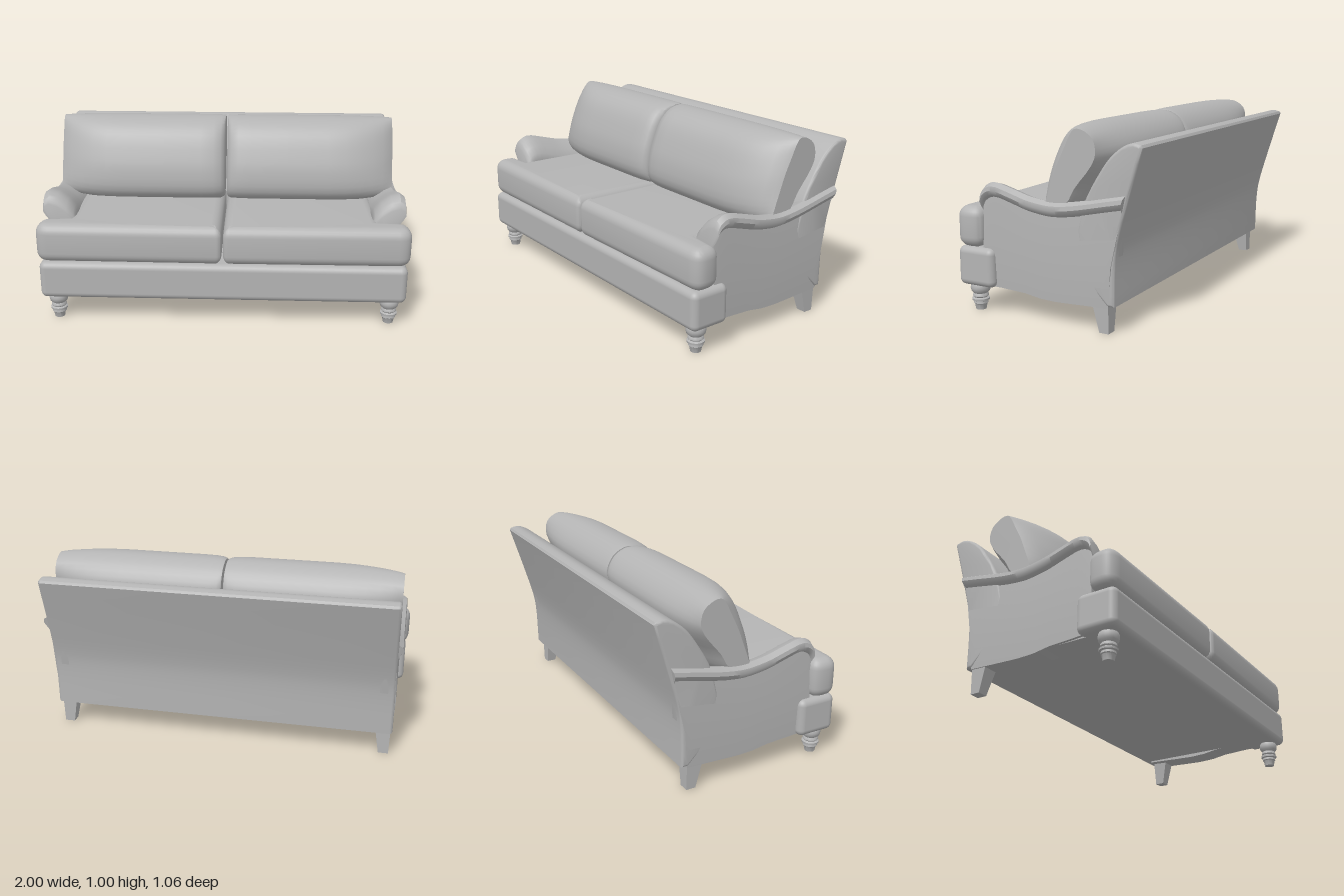
import * as THREE from 'three';
import { toCreasedNormals } from 'three/addons/utils/BufferGeometryUtils.js';
import { RoundedBoxGeometry } from 'three/addons/geometries/RoundedBoxGeometry.js';

const fabric = new THREE.MeshStandardMaterial({ color: 0xb4b4b4 });
fabric.name = 'greyFabric';

// Closed solid through rings of [x, y, z] points, with fan caps
function loft(rings, crease = 0.7) {
  const n = rings[0].length;
  const pts = rings.flat();
  const index = [];
  for (let r = 0; r < rings.length - 1; r++) {
    for (let i = 0; i < n; i++) {
      const a = r * n + i, b = r * n + (i + 1) % n;
      index.push(a, b, b + n, a, b + n, a + n);
    }
  }
  [0, rings.length - 1].forEach((r) => {
    const mid = [0, 1, 2].map((k) => rings[r].reduce((s, p) => s + p[k], 0) / n);
    const c = pts.push(mid) - 1;
    for (let i = 0; i < n; i++) {
      const a = r * n + i, b = r * n + (i + 1) % n;
      if (r === 0) index.push(c, b, a); else index.push(c, a, b);
    }
  });
  // Turn the solid right side out
  let volume = 0;
  const [A, B, C] = [new THREE.Vector3(), new THREE.Vector3(), new THREE.Vector3()];
  for (let i = 0; i < index.length; i += 3) {
    A.fromArray(pts[index[i]]);
    B.fromArray(pts[index[i + 1]]);
    C.fromArray(pts[index[i + 2]]);
    volume += A.dot(B.cross(C));
  }
  if (volume < 0) index.reverse();
  const g = new THREE.BufferGeometry();
  g.setAttribute('position', new THREE.Float32BufferAttribute(pts.flat(), 3));
  g.setIndex(index);
  return toCreasedNormals(g, crease);
}

// Smooth curve through 2D points
function curve(points, closed = false) {
  return new THREE.CatmullRomCurve3(points.map(([a, b]) => new THREE.Vector3(a, b, 0)), closed, 'centripetal');
}

// Height at z along a polyline of [z, y] with falling z
function heightAt(line, z) {
  let i = 0;
  while (i < line.length - 2 && z < line[i + 1][0]) i++;
  const [z0, y0] = line[i], [z1, y1] = line[i + 1];
  return THREE.MathUtils.mapLinear(z, z0, z1, y0, y1);
}

// Scroll arm: cross-section swept from front to back, leaning with the back
function armGeometry(s) {
  const top = curve([[0.38, 0.63], [0.362, 0.665], [0.31, 0.69], [0.2, 0.667], [0.1, 0.64], [0, 0.625],
    [-0.06, 0.622], [-0.15, 0.63], [-0.25, 0.648], [-0.35, 0.67], [-0.445, 0.69]]).getPoints(30);
  const bottom = [[0.38, 0.15], [0.3, 0.147], [0.1, 0.138], [0, 0.124], [-0.1, 0.12], [-0.2, 0.123], [-0.445, 0.132]];
  const rings = top.map((p) => {
    const T = p.y, B = heightAt(bottom, p.x), L = T - 0.065;
    const t = (0.38 - p.x) / 0.825;
    const section = [
      [0.945, B], [0.955, B + 0.2], [0.945, L - 0.01], [0.962, L], [0.976, L + 0.025], [0.972, T - 0.018],
      [0.945, T], [0.9, T - 0.014], [0.85, T - 0.05], [0.815, T - 0.09], [0.802, T - 0.13],
      [0.815, T - 0.18], [0.82, 0.35], [0.82, B]];
    return section.map(([x, y]) => {
      const back = -0.345 - 0.1 * Math.pow(Math.max(0, (y - 0.13) / 0.56), 1.6);
      return [s * x, y, THREE.MathUtils.lerp(0.38, back, t)];
    });
  });
  return loft(rings);
}

// Plump back cushion: full profile in the middle, slimmer toward the ends
function backCushionGeometry(s) {
  const full = curve([[0.03, 0.55], [0.085, 0.61], [0.085, 0.72], [0.06, 0.81], [0.01, 0.92], [-0.05, 0.975],
    [-0.13, 0.998], [-0.2, 0.993], [-0.27, 0.95], [-0.32, 0.87], [-0.31, 0.8], [-0.24, 0.68], [-0.18, 0.58],
    [-0.08, 0.54]], true).getPoints(42).slice(0, -1);
  const slim = curve([[0, 0.6], [-0.01, 0.64], [-0.04, 0.72], [-0.075, 0.81], [-0.12, 0.9], [-0.145, 0.95],
    [-0.17, 0.98], [-0.21, 0.98], [-0.27, 0.94], [-0.285, 0.87], [-0.26, 0.81], [-0.17, 0.7], [-0.12, 0.62],
    [-0.06, 0.59]], true).getPoints(42).slice(0, -1);
  const stations = [[0.006, 0.55], [0.012, 0.72], [0.03, 0.86], [0.07, 0.96], [0.14, 1], [0.35, 1], [0.58, 1],
    [0.68, 0.95], [0.76, 0.83], [0.83, 0.65], [0.89, 0.42], [0.93, 0.18], [0.95, 0]];
  return loft(stations.map(([x, w]) => full.map((p, i) => [
    s * x, THREE.MathUtils.lerp(slim[i].y, p.y, w), THREE.MathUtils.lerp(slim[i].x, p.x, w)])));
}

// T-shaped seat cushion that wraps in front of the arm
function seatCushionGeometry(s) {
  const shape = new THREE.Shape();
  const at = (x, z) => [s * x, -z];
  shape.moveTo(...at(0.004, -0.2));
  shape.lineTo(...at(0.004, 0.5));
  shape.quadraticCurveTo(...at(0.004, 0.53), ...at(0.04, 0.53));
  shape.lineTo(...at(0.93, 0.525));
  shape.quadraticCurveTo(...at(0.998, 0.52), ...at(0.998, 0.46));
  shape.quadraticCurveTo(...at(0.998, 0.38), ...at(0.95, 0.375));
  shape.lineTo(...at(0.84, 0.365));
  shape.lineTo(...at(0.83, -0.2));
  const bevel = 0.055;
  const g = new THREE.ExtrudeGeometry(shape, {
    depth: 0.215 - 2 * bevel, bevelThickness: bevel, bevelSize: bevel, bevelOffset: -bevel,
    bevelSegments: 6, curveSegments: 8 });
  g.rotateX(-Math.PI / 2);
  g.translate(0, 0.345 + bevel, 0);
  return toCreasedNormals(g, 0.7);
}

// Raked back: side profile extruded across the width
function backGeometry() {
  const outer = curve([[-0.378, 0.14], [-0.383, 0.35], [-0.395, 0.45], [-0.45, 0.65], [-0.53, 0.912]]).getPoints(14);
  const inner = curve([[-0.522, 0.925], [-0.48, 0.932], [-0.43, 0.915], [-0.36, 0.86], [-0.3, 0.78], [-0.22, 0.64],
    [-0.18, 0.5]]).getPoints(20);
  const shape = new THREE.Shape([...outer, ...inner].map((p) => new THREE.Vector2(p.x, p.y)));
  shape.lineTo(-0.18, 0.3);
  shape.lineTo(-0.34, 0.14);
  const b = 0.015, half = 0.95;
  const g = new THREE.ExtrudeGeometry(shape, {
    depth: 2 * (half - b), bevelThickness: b, bevelSize: b, bevelOffset: -b, bevelSegments: 3 });
  g.translate(0, 0, -(half - b));
  g.rotateY(-Math.PI / 2);
  return toCreasedNormals(g, 0.7);
}

// Turned front foot
function frontLegGeometry() {
  const profile = [[0, 0], [0.027, 0], [0.033, 0.03], [0.038, 0.034], [0.036, 0.046], [0.045, 0.05], [0.046, 0.06],
    [0.036, 0.066], [0.041, 0.072], [0.04, 0.082], [0.036, 0.088], [0.048, 0.1], [0.052, 0.118], [0.05, 0.132],
    [0.042, 0.15], [0, 0.15]];
  return toCreasedNormals(new THREE.LatheGeometry(profile.map(([r, y]) => new THREE.Vector2(r, y)), 24), 0.7);
}

// Tapered square back foot, splayed rearward
function backLegGeometry(s) {
  const ring = (y, z0, z1, x0, x1) => [[s * x0, y, z0], [s * x1, y, z0], [s * x1, y, z1], [s * x0, y, z1]];
  return loft([ring(0, -0.342, -0.29, 0.88, 0.935), ring(0.16, -0.343, -0.25, 0.855, 0.94)], 0.3);
}

export function createModel() {
  const sofa = new THREE.Group();
  sofa.name = 'sofa';
  const add = (name, geometry, x = 0, y = 0, z = 0) => {
    const mesh = new THREE.Mesh(geometry, fabric);
    mesh.name = name;
    mesh.position.set(x, y, z);
    sofa.add(mesh);
  };

  // Base
  add('frontRail', new RoundedBoxGeometry(1.97, 0.207, 0.22, 5, 0.035), 0, 0.2435, 0.418);
  add('seatBase', new THREE.BoxGeometry(1.86, 0.215, 0.72), 0, 0.2475, -0.01);
  add('back', backGeometry());

  // Mirrored parts
  [['left', 1], ['right', -1]].forEach(([side, s]) => {
    add(side + 'Arm', armGeometry(s));
    add(side + 'SeatCushion', seatCushionGeometry(s));
    add(side + 'BackCushion', backCushionGeometry(s));
    add(side + 'FrontLeg', frontLegGeometry(), s * 0.905, 0, 0.447);
    add(side + 'BackLeg', backLegGeometry(s));
  });
  return sofa;
}
